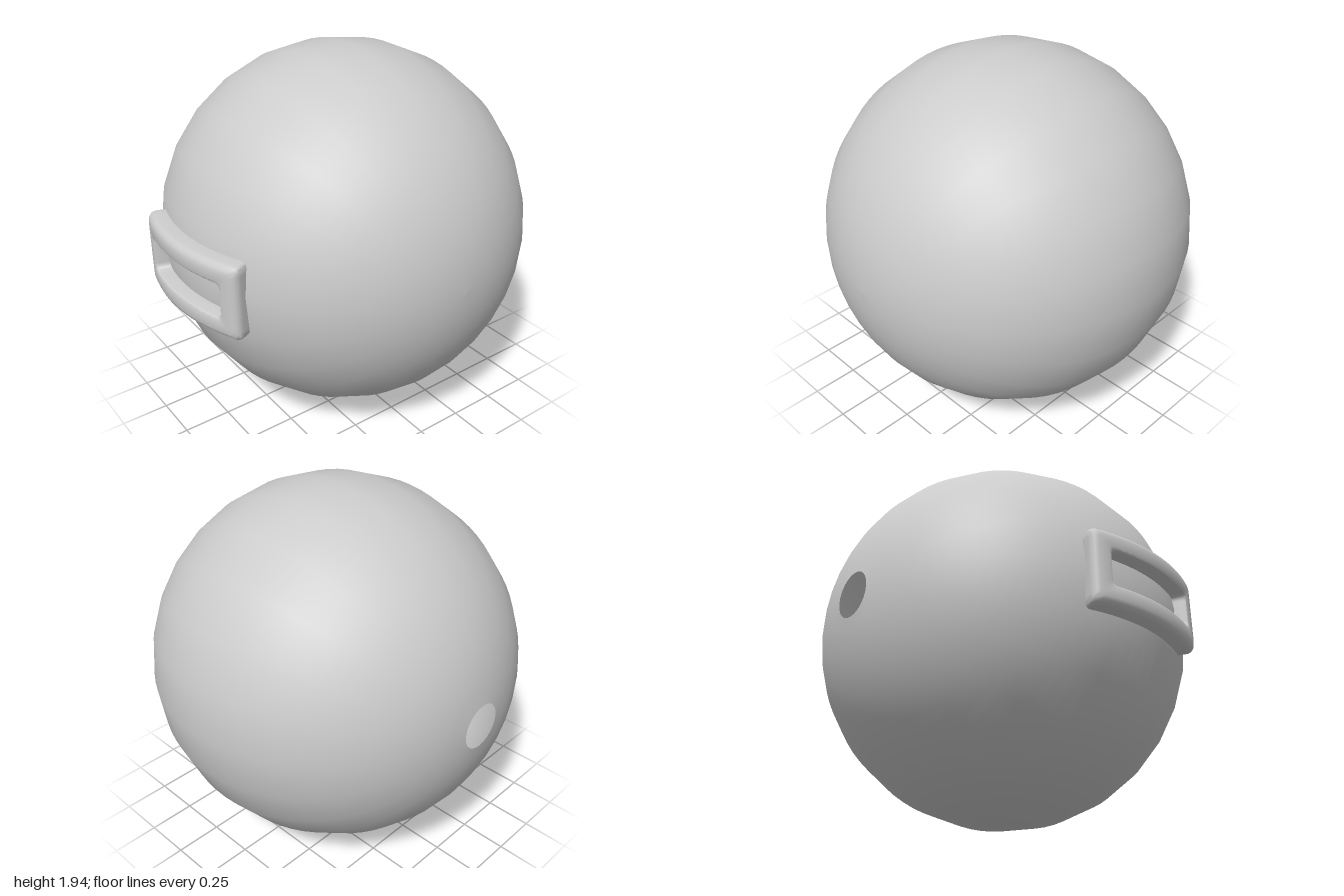
import * as THREE from 'three';
import { toCreasedNormals } from 'three/addons/utils/BufferGeometryUtils.js';

const R = 0.968; // globe radius

// Hollow globe: 24 sides around z, open hole at the back pole
function globeGeometry() {
  const profile = [];
  const start = Math.PI, end = 0.122, rings = 40;
  for (let i = 0; i <= rings; i++) {
    const t = start + (end - start) * i / rings;
    profile.push(new THREE.Vector2(i === 0 ? 0 : R * Math.sin(t), R * Math.cos(t)));
  }
  const g = new THREE.LatheGeometry(profile, 24);
  g.rotateX(-Math.PI / 2);
  g.rotateZ(-0.02);
  return g;
}

// Outline of a rounded rectangle, long sides subdivided so it can be bent
function outline(a, b, r) {
  const pts = [];
  const corners = [[1, 1], [-1, 1], [-1, -1], [1, -1]];
  corners.forEach(([sx, sy], c) => {
    for (let k = 0; k <= 4; k++) {
      const t = (c + k / 4) * Math.PI / 2;
      pts.push([sx * (a - r) + r * Math.cos(t), sy * (b - r) + r * Math.sin(t)]);
    }
    const [nx, ny] = corners[(c + 1) % 4];
    const [px, py] = pts[pts.length - 1];
    const t = (c + 1) * Math.PI / 2;
    const qx = nx * (a - r) + r * Math.cos(t), qy = ny * (b - r) + r * Math.sin(t);
    for (let k = 1; k < 14; k++) pts.push([px + (qx - px) * k / 14, py + (qy - py) * k / 14]);
  });
  return pts;
}

// Rectangular frame wrapped around the globe; section is [inset, distance from centre]
function frameGeometry() {
  const section = [[0, 0.93], [0, 0.995], [0.005, 1.013], [0.018, 1.027], [0.036, 1.033],
    [0.088, 1.033], [0.1, 1.028], [0.105, 1.015], [0.105, 0.93]];
  const pos = [], index = [];
  let n = 0;
  for (const [inset, rad] of section) {
    const loop = outline(0.395 - inset, 0.195 - inset, 0.025);
    n = loop.length;
    for (const [u, v] of loop) {
      const a = u; // arc length on a unit circle
      pos.push(-rad * Math.cos(a), v, rad * Math.sin(a));
    }
  }
  for (let j = 0; j < section.length - 1; j++) {
    for (let i = 0; i < n; i++) {
      const k = (i + 1) % n;
      const a = j * n + i, b = j * n + k, c = a + n, d = b + n;
      index.push(a, b, d, a, d, c);
    }
  }
  const g = new THREE.BufferGeometry();
  g.setAttribute('position', new THREE.Float32BufferAttribute(pos, 3));
  g.setIndex(index);
  return toCreasedNormals(g, 0.8);
}

export function createModel() {
  const model = new THREE.Group();
  model.name = 'globe';
  const material = new THREE.MeshStandardMaterial({ color: 0xcccccc, side: THREE.DoubleSide });

  const shell = new THREE.Mesh(globeGeometry(), material);
  shell.name = 'shell';

  // Bracket on the right side, turned a little toward the front
  const bracket = new THREE.Mesh(frameGeometry(), material);
  bracket.name = 'bracket';
  bracket.rotation.y = 0.065;

  model.add(shell, bracket);
  model.position.set(0.033, R, -0.003);
  return model;
}
